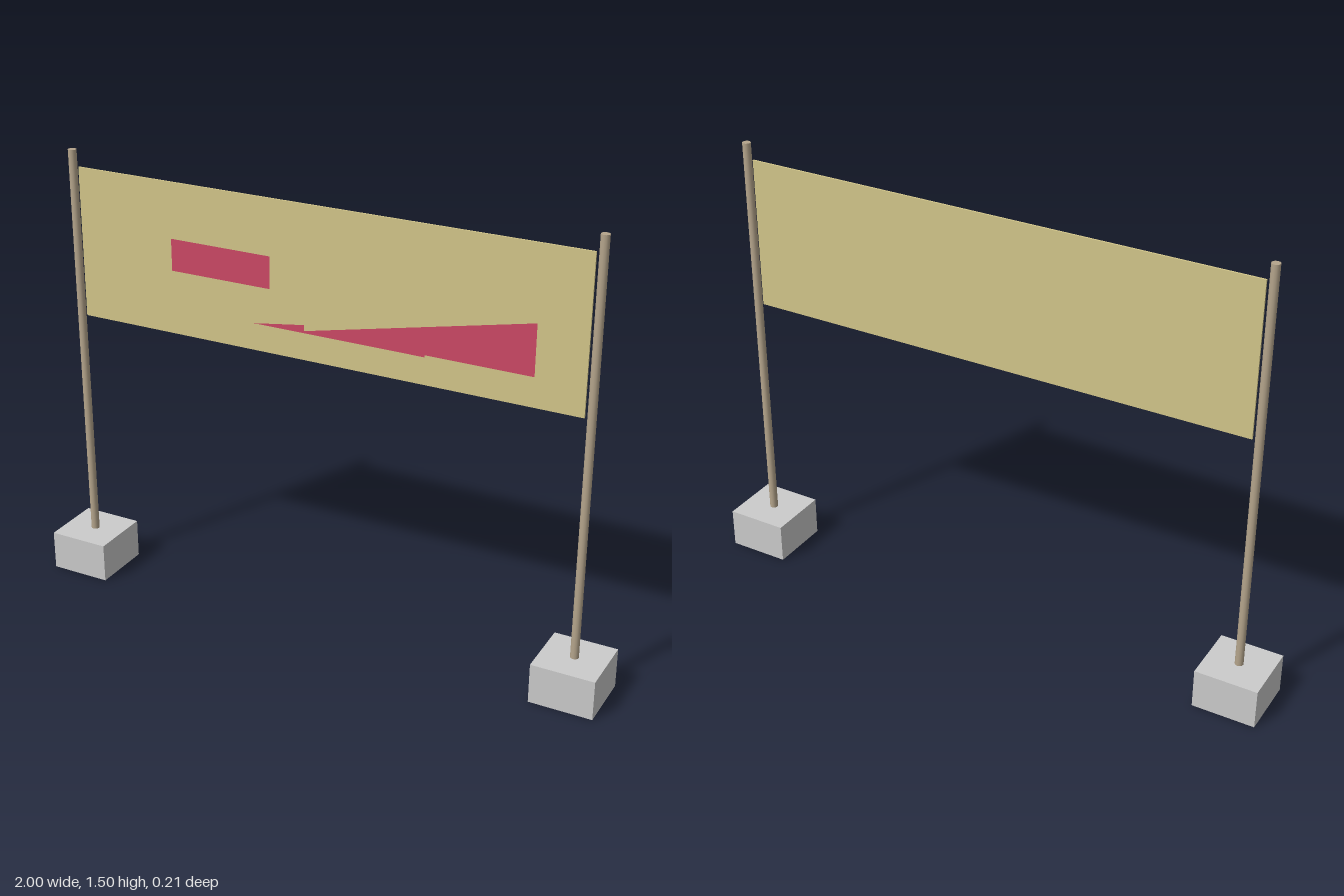
import * as THREE from 'three';

const grey = new THREE.MeshStandardMaterial({ color: 0xcccccc, side: THREE.DoubleSide });
const poleMat = new THREE.MeshStandardMaterial({ color: 0xb5a58c });
const olive = new THREE.MeshStandardMaterial({ color: 0xd3c68a });
const red = new THREE.MeshStandardMaterial({ color: 0xcc4866, side: THREE.DoubleSide });

function add(parent, name, geometry, material, x = 0, y = 0, z = 0) {
  const mesh = new THREE.Mesh(geometry, material);
  mesh.name = name;
  mesh.position.set(x, y, z);
  parent.add(mesh);
  return mesh;
}

// Box without its bottom face
function openBox(w, h, d) {
  const g = new THREE.BoxGeometry(w, h, d);
  const index = Array.from(g.index.array);
  index.splice(18, 6);
  g.setIndex(index);
  return g;
}

// Flat printed shape from a list of corners
function flatShape(points) {
  return new THREE.ShapeGeometry(new THREE.Shape(points.map(([x, y]) => new THREE.Vector2(x, y))));
}

export function createModel() {
  const model = new THREE.Group();
  model.name = 'bannerStand';

  // Posts standing in hollow block feet
  for (const [side, s] of [['left', 1], ['right', -1]]) {
    const post = new THREE.Group();
    post.name = side + 'Post';
    post.position.x = s * 0.893;
    add(post, 'foot', openBox(0.21, 0.135, 0.21), grey, 0, 0.0675, 0);
    add(post, 'pole', new THREE.CylinderGeometry(0.014, 0.014, 1.505, 12), poleMat, 0, 0.7525, 0);
    add(post, 'collar', new THREE.CylinderGeometry(0.035, 0.035, 0.006, 12), grey, 0, 0.06, 0);
    model.add(post);
  }

  // Thin banner stretched between the posts
  add(model, 'banner', new THREE.BoxGeometry(1.742, 0.508, 0.006), olive, 0, 1.196, 0);

  // Red panels on the front of the banner
  const z = 0.0045;
  add(model, 'upperPanel', flatShape([[-0.527, 1.157], [-0.17, 1.157], [-0.17, 1.264], [-0.527, 1.264]]), red, 0, 0, z);
  add(model, 'wedgePanel', flatShape([
    [-0.23, 1.033], [0.36, 1.033], [0.36, 1.04], [0.712, 1.04],
    [0.712, 1.208], [-0.05, 1.04], [-0.05, 1.06],
  ]), red, 0, 0, z);

  return model;
}
